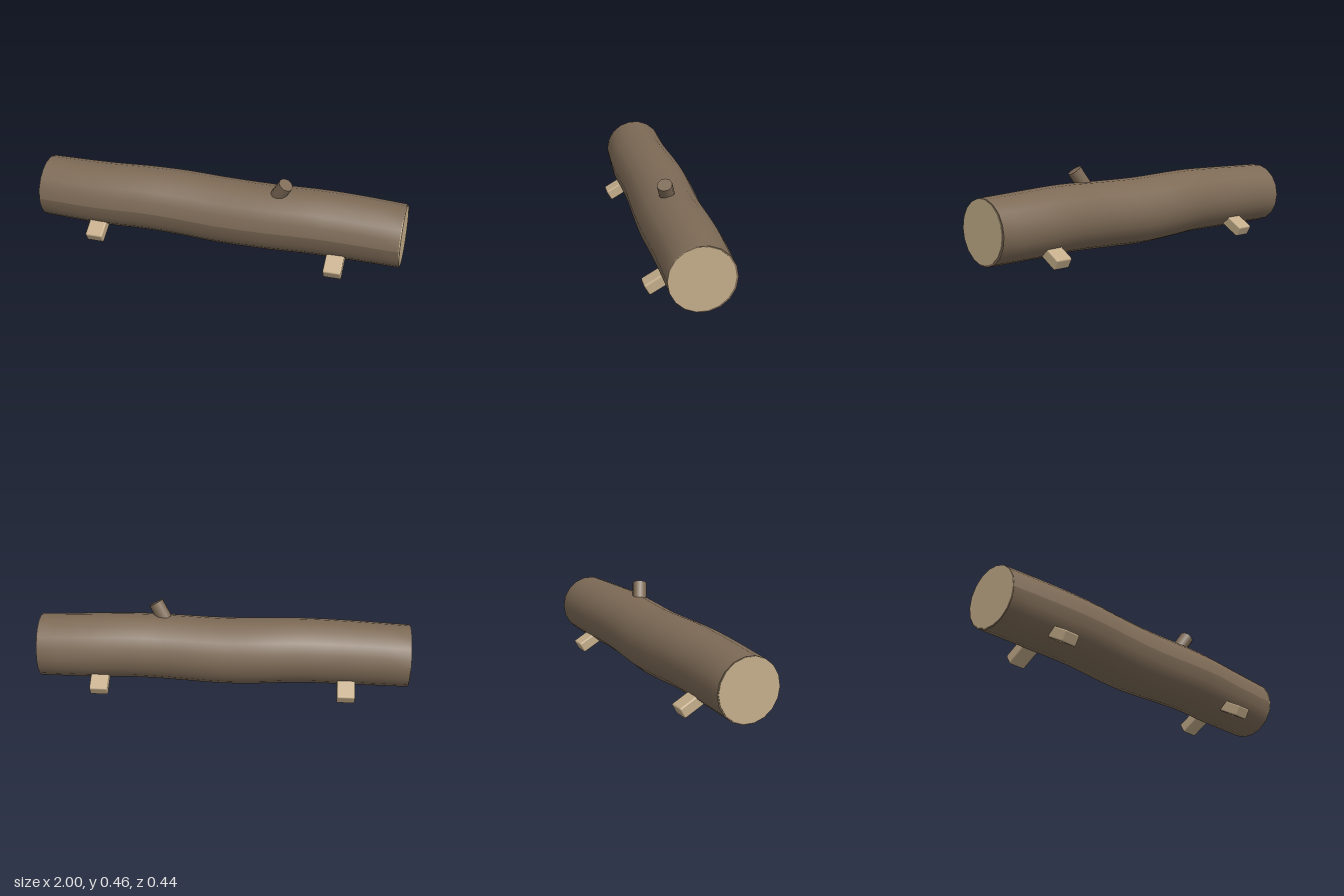
import * as THREE from 'three';
import { RoundedBoxGeometry } from 'three/addons/geometries/RoundedBoxGeometry.js';

const SIDES = 18;
const END = 0.997;

// Bent log along x: rings follow a gently wavering centre line and radius.
function logGeometry() {
  const v = (x, y, z) => new THREE.Vector3(x, y, z);
  const centre = new THREE.CatmullRomCurve3([
    v(-1, 0.199, -0.005), v(-0.65, 0.204, 0.005), v(-0.4, 0.21, -0.003), v(-0.2, 0.204, -0.011),
    v(0, 0.197, -0.008), v(0.3, 0.204, 0.001), v(0.5, 0.21, -0.003), v(0.7, 0.206, -0.01), v(1, 0.198, -0.009),
  ]);
  const radius = new THREE.CatmullRomCurve3([
    v(-1, 0.168, 0), v(-0.65, 0.174, 0), v(-0.4, 0.176, 0), v(-0.2, 0.179, 0),
    v(0, 0.18, 0), v(0.3, 0.177, 0), v(0.5, 0.176, 0), v(0.7, 0.175, 0), v(1, 0.169, 0),
  ]);
  const geo = new THREE.CylinderGeometry(1, 1, 2, SIDES, 24);
  geo.rotateZ(-Math.PI / 2);
  const pos = geo.attributes.position;
  for (let i = 0; i < pos.count; i++) {
    const t = (pos.getX(i) + 1) / 2;
    const c = centre.getPoint(t);
    const r = radius.getPoint(t).y;
    pos.setXYZ(i, c.x * END, c.y + pos.getY(i) * r, c.z + pos.getZ(i) * r);
  }
  geo.computeVertexNormals();
  return geo;
}

export function createModel() {
  const model = new THREE.Group();
  const bark = new THREE.MeshStandardMaterial({ name: 'bark', color: 0x7d6a56 });
  const cutWood = new THREE.MeshStandardMaterial({ name: 'cut wood', color: 0xc4ad8a });

  const add = (name, geometry, material) => {
    const mesh = new THREE.Mesh(geometry, material);
    mesh.name = name;
    model.add(mesh);
    return mesh;
  };

  add('log', logGeometry(), bark);

  // Pale sawn discs on both ends
  for (const side of [-1, 1]) {
    const disc = add(side > 0 ? 'leftCutEnd' : 'rightCutEnd',
      new THREE.CylinderGeometry(0.164, 0.164, 0.006, SIDES).rotateZ(-Math.PI / 2), cutWood);
    disc.position.set(side * 0.997, 0.201, -0.003);
  }

  // Leaning branch stub
  const tip = new THREE.Vector3(0.372, 0.442, 0.055);
  const dir = new THREE.Vector3(0.58, 1, 0.28).normalize();
  const stub = add('branchStub', new THREE.CylinderGeometry(0.04, 0.04, 0.16, 10), bark);
  stub.quaternion.setFromUnitVectors(new THREE.Vector3(0, 1, 0), dir);
  stub.position.copy(tip).addScaledVector(dir, -0.08);

  // Four splayed feet
  for (const x of [-0.665, 0.665]) {
    for (const side of [-1, 1]) {
      const foot = add('foot', new RoundedBoxGeometry(0.097, 0.062, 0.14, 2, 0.009), cutWood);
      foot.position.set(x, 0.059, side * 0.147);
      foot.rotation.x = side * Math.PI / 6;
    }
  }
  return model;
}
